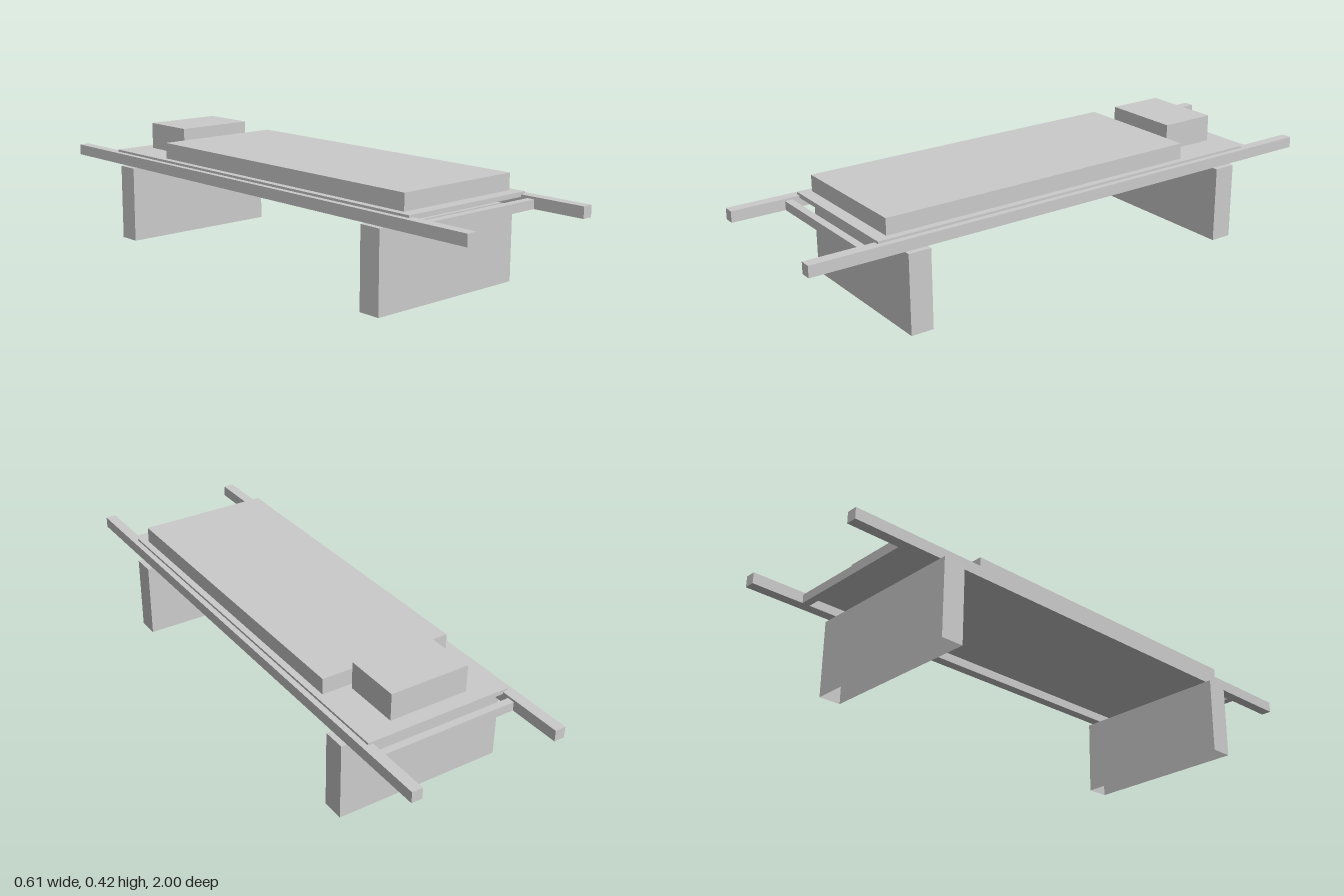
import * as THREE from 'three';

const material = new THREE.MeshStandardMaterial({ color: 0xcccccc, flatShading: true });
const openMaterial = new THREE.MeshStandardMaterial({ color: 0xcccccc, flatShading: true, side: THREE.DoubleSide });

// Box given by its limits along each axis
function box(name, [x0, x1], [y0, y1], [z0, z1], mat = material) {
  const mesh = new THREE.Mesh(new THREE.BoxGeometry(x1 - x0, y1 - y0, z1 - z0), mat);
  mesh.position.set((x0 + x1) / 2, (y0 + y1) / 2, (z0 + z1) / 2);
  mesh.name = name;
  return mesh;
}

// Leave out the underside (fourth face of a box, six indices per face)
function openBottom(mesh) {
  const index = Array.from(mesh.geometry.index.array);
  index.splice(18, 6);
  mesh.geometry.setIndex(index);
  return mesh;
}

export function createModel() {
  const group = new THREE.Group();
  group.name = 'stretcherBed';

  // Long carrying rails
  for (const [side, s] of [['left', 1], ['right', -1]]) {
    const rail = box(side + 'Rail', [0.246, 0.284], [0.273, 0.312], [-1, 1]);
    rail.position.x *= s;
    group.add(rail);
  }

  // Crossbars and wide supports at each end
  for (const [end, s] of [['front', 1], ['back', -1]]) {
    const bar = box(end + 'Crossbar', [-0.246, 0.246], [0.273, 0.304], [0.785, 0.812]);
    const leg = openBottom(box(end + 'Leg', [-0.304, 0.304], [0, 0.273], [0.6, 0.68], openMaterial));
    bar.position.z *= s;
    leg.position.z *= s;
    group.add(bar, leg);
  }

  // Bed board, blanket and pillow
  group.add(
    box('bedBoard', [-0.264, 0.264], [0.304, 0.32], [-0.76, 0.76]),
    box('blanket', [-0.24, 0.24], [0.32, 0.377], [-0.48, 0.717]),
    box('pillow', [-0.144, 0.144], [0.32, 0.416], [-0.704, -0.5]),
  );
  return group;
}
